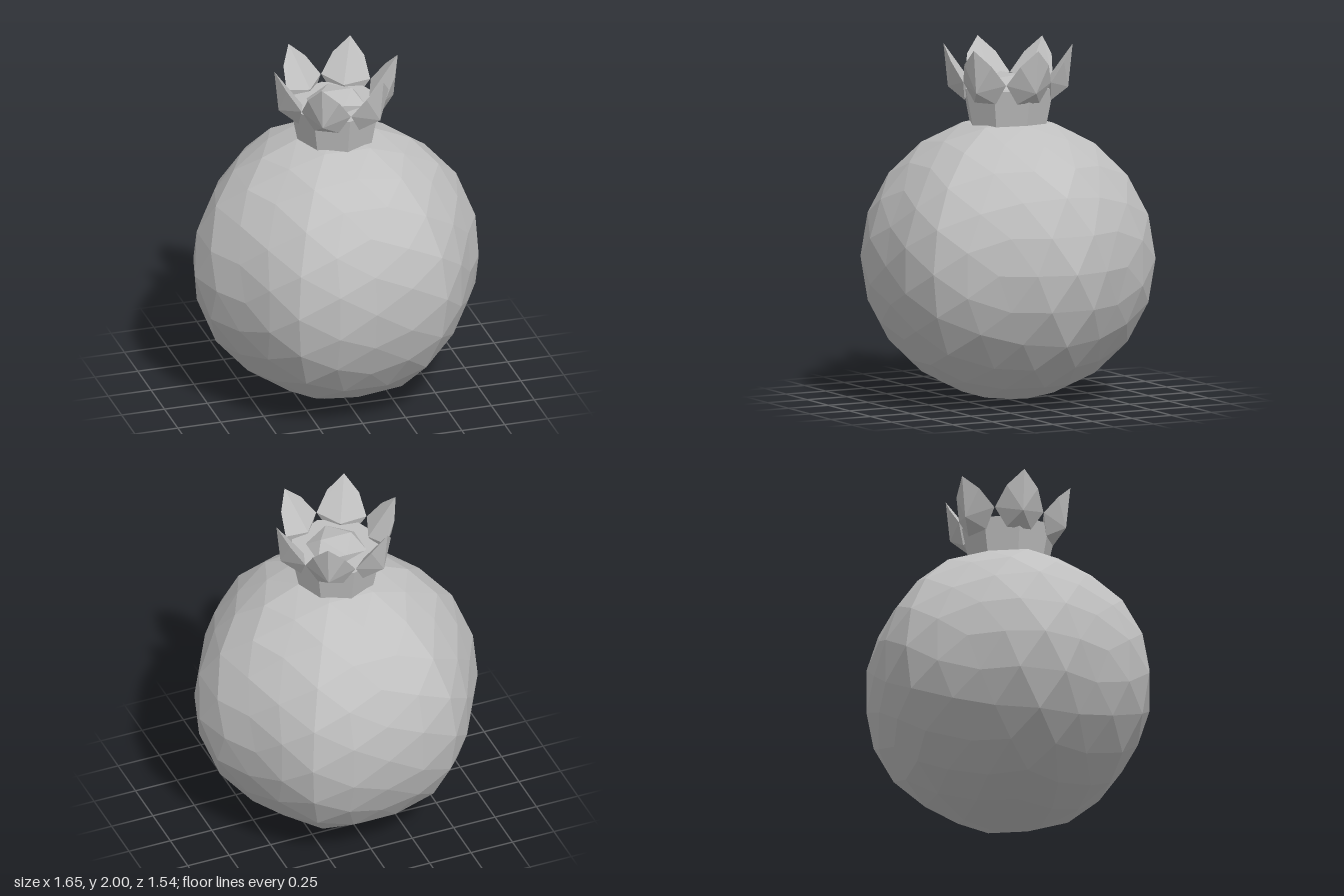
import * as THREE from 'three';
import { ConvexGeometry } from 'three/addons/geometries/ConvexGeometry.js';

// Icosphere made by halving edges, keeping each new corner on the unit sphere
function icosphere(levels) {
  const pos = new THREE.IcosahedronGeometry(1, 0).attributes.position;
  let tris = [];
  for (let i = 0; i < pos.count; i += 3) {
    tris.push([0, 1, 2].map((k) => new THREE.Vector3().fromBufferAttribute(pos, i + k)));
  }
  const mid = (a, b) => a.clone().add(b).normalize();
  for (let n = 0; n < levels; n++) {
    tris = tris.flatMap(([a, b, c]) => {
      const ab = mid(a, b), bc = mid(b, c), ca = mid(c, a);
      return [[a, ab, ca], [ab, b, bc], [ca, bc, c], [ab, bc, ca]];
    });
  }
  return new THREE.BufferGeometry().setFromPoints(tris.flat());
}

export function createModel() {
  const model = new THREE.Group();
  const skin = new THREE.MeshStandardMaterial({ color: 0xc0c0c0, flatShading: true });
  skin.name = 'plain grey';

  const add = (name, geometry, parent = model) => {
    const mesh = new THREE.Mesh(geometry, skin);
    mesh.name = name;
    parent.add(mesh);
    return mesh;
  };

  // Round fruit with six soft vertical lobes
  const R = 0.797;
  const body = icosphere(2);
  const p = body.attributes.position;
  for (let i = 0; i < p.count; i++) {
    const x = p.getX(i), y = p.getY(i), z = p.getZ(i);
    const lobe = 1 + 0.033 * Math.cos(6 * Math.atan2(z, x));
    p.setXYZ(i, x * R * lobe, y * R, z * R * lobe);
  }
  body.computeVertexNormals();
  add('fruitBody', body).position.y = R;

  // Flared neck under the crown
  add('neck', new THREE.CylinderGeometry(0.265, 0.215, 0.25, 8)).position.y = 1.635;

  // Flattened core inside the crown
  const core = add('crownCore', new THREE.IcosahedronGeometry(0.175, 0));
  core.scale.y = 0.52;
  core.position.y = 1.755;

  // Six pointed sepals leaning outward
  const corners = [[0.36, 2, 0], [0.335, 1.757, 0], [0.195, 1.77, 0]];
  for (const s of [-1, 1]) {
    corners.push([0.315, 1.91, 0.09 * s], [0.245, 1.8, 0.14 * s], [0.24, 1.69, 0.07 * s]);
  }
  const sepal = new ConvexGeometry(corners.map((c) => new THREE.Vector3(...c)));
  const crown = new THREE.Group();
  crown.name = 'crown';
  for (let i = 0; i < 6; i++) add('sepal', sepal, crown).rotation.y = (i * Math.PI) / 3;
  model.add(crown);

  return model;
}
